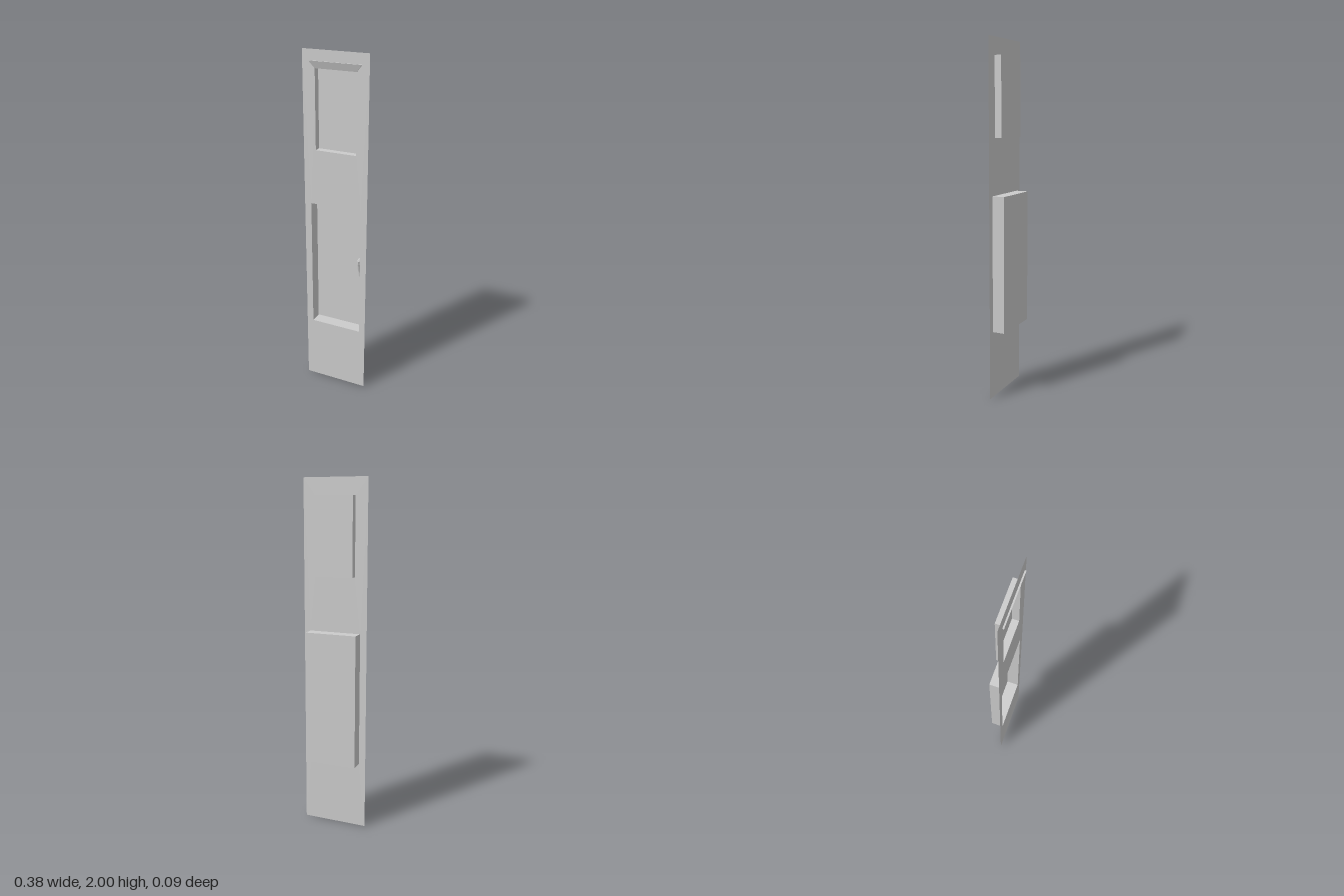
import * as THREE from 'three';

const FACE = 0.027; // z of the front sheet
const material = new THREE.MeshStandardMaterial({ color: 0xcccccc, flatShading: true, side: THREE.DoubleSide });

const recesses = [
  { name: 'upperRecess', x0: -0.117, x1: 0.12, y0: 1.467, y1: 1.904, back: -0.012 },
  { name: 'lowerRecess', x0: -0.15, x1: 0.152, y0: 0.385, y1: 1.153, back: -0.044 },
];

function addMesh(group, name, geometry) {
  const mesh = new THREE.Mesh(geometry, material);
  mesh.name = name;
  group.add(mesh);
  return mesh;
}

function rectangle(PathType, x0, x1, y0, y1) {
  return new PathType([[x0, y0], [x1, y0], [x1, y1], [x0, y1]].map(([x, y]) => new THREE.Vector2(x, y)));
}

// Open tray: four walls and a back, without the front face
function trayGeometry({ x0, x1, y0, y1, back }) {
  const box = new THREE.BoxGeometry(x1 - x0, y1 - y0, FACE - back);
  const index = Array.from(box.index.array);
  index.splice(24, 6); // drop the +z side
  box.setIndex(index);
  box.clearGroups();
  return box.translate((x0 + x1) / 2, (y0 + y1) / 2, (FACE + back) / 2);
}

// Shallow wedge that flares outwards and forwards towards its top
function hoodGeometry() {
  const box = new THREE.BoxGeometry(1, 1, 1);
  const p = box.attributes.position;
  for (let i = 0; i < p.count; i++) {
    const top = p.getY(i) > 0, front = p.getZ(i) > 0;
    const x = Math.sign(p.getX(i)) * (top ? 0.149 : 0.119) + 0.002;
    const z = top ? (front ? 0.041 : 0.033) : (front ? FACE + 0.001 : FACE);
    p.setXYZ(i, x, top ? 1.943 : 1.904, z);
  }
  box.computeVertexNormals();
  return box;
}

// Faceted grip: each ring is [height, half width, projection from the tray back]
function handleGeometry() {
  const rings = [[0.72, 0.007, 0.01], [0.76, 0.011, 0.017], [0.8, 0.015, 0.026], [0.822, 0.013, 0.028], [0.832, 0.007, 0.02]];
  const grip = new THREE.CylinderGeometry(1, 1, rings.length - 1, 8, rings.length - 1);
  const p = grip.attributes.position;
  for (let i = 0; i < p.count; i++) {
    const [y, w, d] = rings[Math.round(p.getY(i) + (rings.length - 1) / 2)];
    p.setXYZ(i, 0.122 + p.getX(i) * w, y, -0.044 + Math.max(0, p.getZ(i)) * d);
  }
  grip.computeVertexNormals();
  return grip;
}

export function createModel() {
  const model = new THREE.Group();
  model.name = 'lockerDoor';

  // Thin front sheet with an opening for each recess
  const sheet = rectangle(THREE.Shape, -0.189, 0.189, 0, 2);
  for (const r of recesses) sheet.holes.push(rectangle(THREE.Path, r.x0, r.x1, r.y0, r.y1));
  addMesh(model, 'frontSheet', new THREE.ShapeGeometry(sheet).translate(0, 0, FACE));

  for (const r of recesses) addMesh(model, r.name, trayGeometry(r));

  addMesh(model, 'hood', hoodGeometry());
  addMesh(model, 'handle', handleGeometry());
  return model;
}
